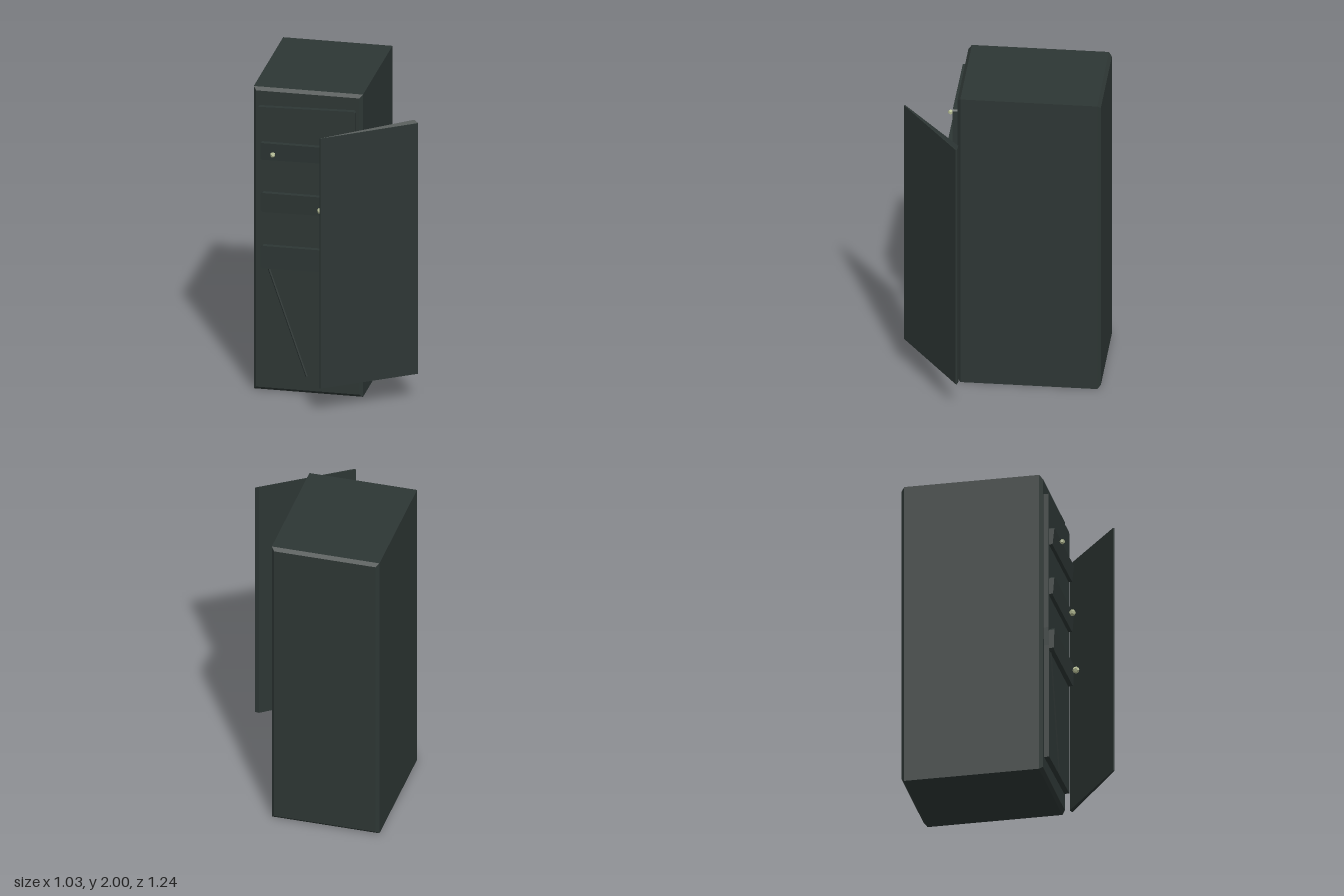
import * as THREE from 'three';

export function createModel() {
  const root = new THREE.Group();
  const steel = new THREE.MeshStandardMaterial({ color: 0x2d3634, flatShading: true });
  steel.name = 'dark steel';
  const brass = new THREE.MeshStandardMaterial({ color: 0xb4bb94, flatShading: true });
  brass.name = 'pale brass';

  const add = (name, geometry, material = steel) => {
    const mesh = new THREE.Mesh(geometry, material);
    mesh.name = name;
    root.add(mesh);
    return mesh;
  };

  // Extrude an outline towards +z, from z0 to z1
  const plate = (points, z0, z1) => {
    const shape = new THREE.Shape(points.map(([x, y]) => new THREE.Vector2(x, y)));
    return new THREE.ExtrudeGeometry(shape, { depth: z1 - z0, bevelEnabled: false }).translate(0, 0, z0);
  };

  // Cabinet body with chamfered edges all round
  const c = 0.02, w = 0.345 - c, h = 1 - c;
  const outline = new THREE.Shape([[-w, -h], [w, -h], [w, h], [-w, h]].map(([x, y]) => new THREE.Vector2(x, y)));
  add('cabinetBody', new THREE.ExtrudeGeometry(outline, {
    depth: 0.89 - 2 * c, bevelEnabled: true, bevelThickness: c, bevelSize: c, bevelSegments: 1,
  }).translate(-0.175, 1, -0.62 + c));

  // Slightly crooked front panel
  add('frontPanel', plate([
    [-0.46, 0.105], [0.135, 0.125], [0.13, 1.89], [0.12, 1.9], [-0.48, 1.885], [-0.475, 0.98], [-0.47, 0.86],
  ], 0.268, 0.302));

  // Diagonal crease across the lower panel
  const crease = add('panelCrease', new THREE.CylinderGeometry(0.014, 0.014, 0.77, 3));
  crease.scale.z = 0.5;
  crease.position.set(-0.3, 0.49, 0.301);
  crease.rotation.z = Math.atan2(0.25, 0.73);

  // Drawer fronts, leaning inwards at the bottom, each with clipped corners
  const drawers = [[1.545, 1.66, 0.012, 0.004], [1.2, 1.33, 0.01, 0.012], [0.83, 0.98, 0.004, 0.014]];
  drawers.forEach(([y0, y1, lean, k], i) => {
    const g = plate([
      [-0.46 + k, y0], [0.115 - k, y0 + 0.008], [0.115, y0 + 0.008 + k],
      [0.115, y1 - k], [0.115 - k, y1], [-0.46 + k, y1], [-0.46, y1 - k], [-0.46, y0 + k],
    ], 0.3, 0.335);
    const p = g.attributes.position;
    for (let j = 0; j < p.count; j++) {
      if (p.getZ(j) > 0.32) p.setZ(j, 0.335 - lean * (y1 - p.getY(j)) / (y1 - y0));
    }
    g.computeVertexNormals();
    add('drawer' + (i + 1), g);
  });

  // Faceted knobs
  [[-0.375, 1.6, 0.017], [-0.073, 1.255, 0.022], [0.028, 0.91, 0.022]].forEach(([x, y, r], i) => {
    const knob = add('knob' + (i + 1), new THREE.DodecahedronGeometry(r), brass);
    knob.position.set(x, y, 0.366);
    knob.rotation.set(0.4 * i, 0.7 * i, 0.5);
  });

  // Open door: a tapered slab, thick at the hinge and thin at the free edge
  const plan = [[-0.025, 0.612], [-0.019, 0.618], [0.515, 0.242], [0.515, 0.235], [0.488, 0.229]];
  const door = plate(plan.map(([x, z]) => [x, -z]), 0, 1);
  door.rotateX(-Math.PI / 2);
  const p = door.attributes.position;
  for (let j = 0; j < p.count; j++) {
    const x = p.getX(j);
    const top = x > 0.51 ? 1.835 : 1.83 + 0.022 * (x + 0.025) / 0.513;
    p.setY(j, p.getY(j) > 0.5 ? top : 0.178);
  }
  door.computeVertexNormals();
  add('openDoor', door);

  return root;
}
